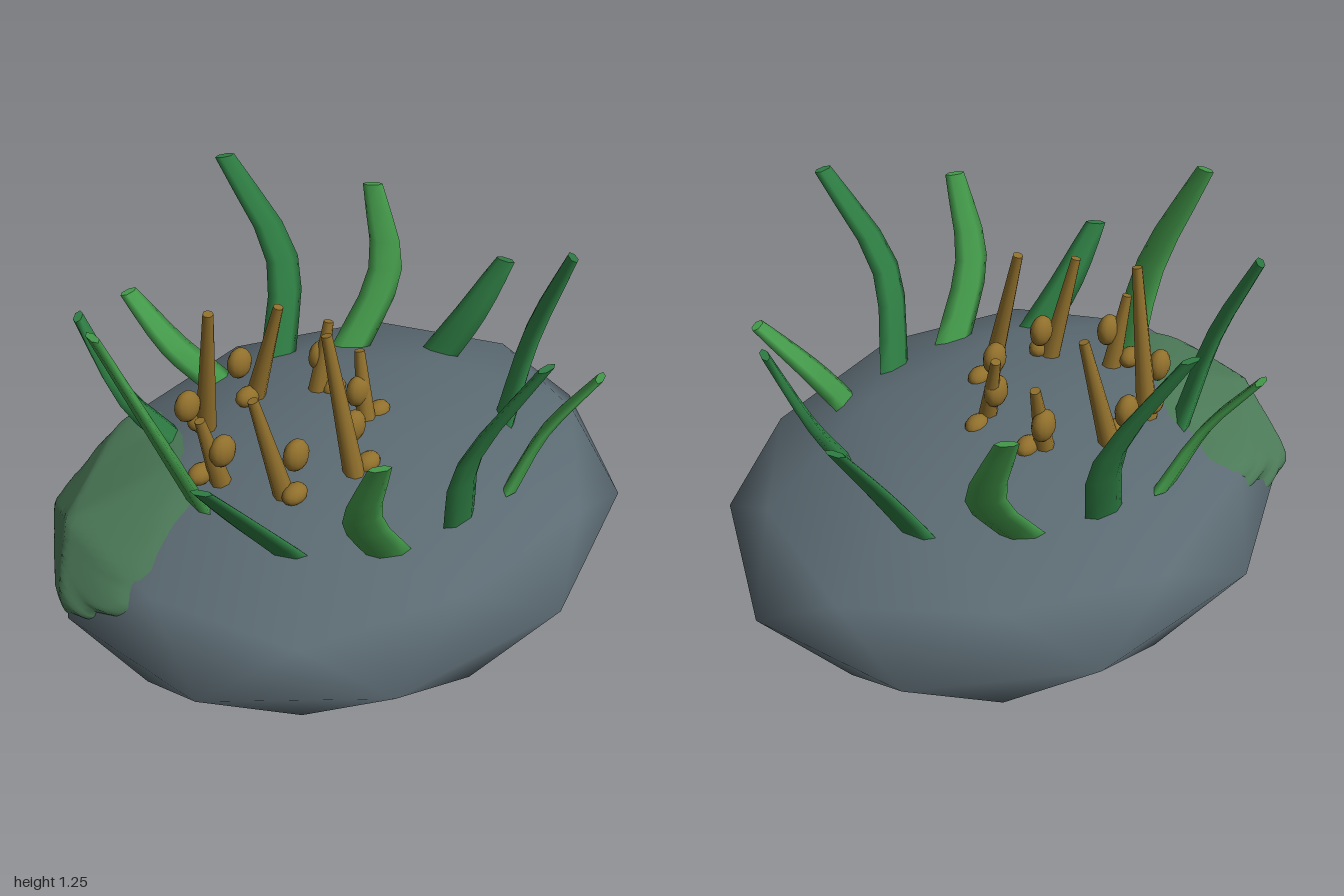
import * as THREE from 'three';

const mat = (name, color, side = THREE.FrontSide) => {
  const m = new THREE.MeshStandardMaterial({ color, side });
  m.name = name;
  return m;
};

// Grid of vertices (rows of closed loops) joined into one smooth surface
function loft(rows, capEnds) {
  const n = rows[0].length, pos = [], idx = [];
  rows.forEach(r => r.forEach(p => pos.push(p.x, p.y, p.z)));
  for (let i = 0; i < rows.length - 1; i++) {
    for (let j = 0; j < n; j++) {
      const a = i * n + j, b = i * n + (j + 1) % n, c = a + n, d = b + n;
      idx.push(a, c, d, a, d, b);
    }
  }
  // flat end caps with their own vertices so the rim stays sharp
  if (capEnds) {
    [rows[0], rows[rows.length - 1]].forEach((r, k) => {
      const s = pos.length / 3;
      r.forEach(p => pos.push(p.x, p.y, p.z));
      for (let j = 1; j < n - 1; j++) idx.push(s, s + j + (k ? 1 : 0), s + j + (k ? 0 : 1));
    });
  }
  const g = new THREE.BufferGeometry();
  g.setAttribute('position', new THREE.Float32BufferAttribute(pos, 3));
  g.setIndex(idx);
  g.computeVertexNormals();
  return g;
}

const SIZE = new THREE.Vector3(1.052, 0.325, 0.885);
const MID_Y = 0.327;

// Faceted ball standing on a corner
function unitRock() {
  return new THREE.IcosahedronGeometry(1, 1).rotateX(-Math.atan2(0.8507, 0.5257)).rotateY(Math.PI / 2);
}

// Moss shell hugging the facets of the rock, with a ragged rim tucked inside
function mossGeometry() {
  const p = unitRock().attributes.position, planes = [];
  for (let i = 0; i < p.count; i += 3) {
    const [a, b, c] = [0, 1, 2].map(k => new THREE.Vector3().fromBufferAttribute(p, i + k));
    planes.push(new THREE.Plane().setFromCoplanarPoints(a, b, c));
  }
  const radius = u => Math.min(...planes.map(q => {
    const d = q.normal.dot(u);
    return d > 0.1 ? -q.constant / d : 9;
  }));
  const c = new THREE.Vector3(-0.74, 0.3, -0.6).normalize();
  const e1 = new THREE.Vector3(0, 1, 0).cross(c).normalize();
  const e2 = c.clone().cross(e1);
  const rows = [];
  for (let i = 0; i <= 14; i++) {
    const t = Math.max(i / 14, 0.001), row = [];
    for (let j = 0; j < 64; j++) {
      const f = j / 64 * Math.PI * 2;
      const ripple = 0.025 * Math.sin(5 * f + 1) + 0.018 * Math.sin(11 * f) + 0.01 * Math.sin(19 * f + 2);
      const a = t * (0.57 + 0.1 * Math.sin(f) + 0.04 * Math.cos(2 * f + Math.PI) + ripple);
      const u = c.clone().multiplyScalar(Math.cos(a))
        .addScaledVector(e1, Math.sin(a) * Math.cos(f))
        .addScaledVector(e2, Math.sin(a) * Math.sin(f));
      row.push(u.multiplyScalar(radius(u) * (0.99 + 0.055 * (1 - t ** 6))).multiply(SIZE));
    }
    rows.push(row);
  }
  return loft(rows, false).translate(0, MID_Y, 0);
}

// Bent, tapering leaf whose width runs around the rock
function bladeGeometry([bx, bz, mx, mz, tx, tz], height) {
  const y0 = 0.555;
  const curve = new THREE.CatmullRomCurve3([
    new THREE.Vector3(bx, y0, bz),
    new THREE.Vector3(mx, y0 + (height - y0) * 0.48, mz),
    new THREE.Vector3(tx, height, tz),
  ]);
  const out = new THREE.Vector3(bx, 0, bz).normalize();
  const across = new THREE.Vector3(out.z, 0, -out.x);
  const rows = [];
  for (let i = 0; i <= 6; i++) {
    const t = i / 6, c = curve.getPoint(t);
    const w = 0.069 - 0.034 * t * t, d = 0.025 - 0.011 * t;
    rows.push(Array.from({ length: 6 }, (_, j) => {
      const a = -j / 6 * Math.PI * 2;
      return c.clone().addScaledVector(across, Math.cos(a) * w).addScaledVector(out, Math.sin(a) * d);
    }));
  }
  return loft(rows, true);
}

export function createModel() {
  const model = new THREE.Group();
  model.name = 'plantedRock';
  const stone = mat('slate grey', 0x5c6b73);
  const moss = mat('moss green', 0x4c7a58, THREE.DoubleSide);
  const leafGreens = [mat('deep green', 0x2e7d43, THREE.DoubleSide), mat('leaf green', 0x43994a, THREE.DoubleSide)];
  const brown = mat('ochre brown', 0x91702c);
  const add = (parent, name, geometry, material) => {
    const m = new THREE.Mesh(geometry, material);
    m.name = name;
    parent.add(m);
    return m;
  };

  // Rock and its moss patch
  add(model, 'rock', unitRock().scale(SIZE.x, SIZE.y, SIZE.z).translate(0, MID_Y, 0), stone);
  add(model, 'mossPatch', mossGeometry(), moss);

  // Ring of leaves: base x z, middle x z, tip x z
  const leaves = new THREE.Group();
  leaves.name = 'leaves';
  model.add(leaves);
  [
    [0.45, 0.34, 0.62, 0.32, 0.715, 0.39],
    [0.18, 0.56, 0.29, 0.6, 0.4, 0.71],
    [-0.07, 0.53, -0.165, 0.62, -0.085, 0.8],
    [-0.33, 0.46, -0.5, 0.49, -0.565, 0.6],
    [-0.53, 0.24, -0.66, 0.185, -0.8, 0.15],
    [-0.54, -0.13, -0.68, -0.14, -0.775, -0.275],
    [-0.34, -0.46, -0.51, -0.48, -0.565, -0.59],
    [0, -0.58, -0.12, -0.65, -0.18, -0.79],
    [0.23, -0.49, 0.355, -0.57, 0.295, -0.77],
    [0.45, -0.34, 0.64, -0.33, 0.7, -0.44],
    [0.62, -0.07, 0.7, 0.01, 0.81, 0.07],
  ].forEach((p, i) => add(leaves, 'leaf', bladeGeometry(p, [1.09, 0.92, 1.25][i % 3]), leafGreens[i % 2]));

  // Clusters: stalk base x z, stalk tip x y z, upper bud x z, lower bud x z
  const up = new THREE.Vector3(0, 1, 0);
  [
    [-0.265, -0.37, -0.31, 1.1, -0.28, -0.35, -0.36, -0.28, -0.38],
    [-0.04, -0.36, 0, 0.98, -0.27, -0.06, -0.4, -0.08, -0.35],
    [0.1, -0.2, 0.17, 0.87, -0.2, 0.15, -0.22, 0.15, -0.16],
    [0.07, 0.05, 0.1, 0.87, -0.01, 0.07, 0.01, 0.14, 0.04],
    [-0.16, 0.19, -0.17, 1.1, 0.08, -0.09, 0.12, -0.1, 0.19],
    [-0.37, 0.08, -0.44, 0.98, 0.02, -0.32, 0.08, -0.37, 0.115],
    [-0.44, -0.13, -0.5, 0.86, -0.15, -0.45, -0.11, -0.485, -0.18],
  ].forEach(([bx, bz, tx, ty, tz, ux, uz, lx, lz]) => {
    const cluster = new THREE.Group();
    cluster.name = 'budCluster';
    model.add(cluster);
    const base = new THREE.Vector3(bx, 0.58, bz), dir = new THREE.Vector3(tx, ty, tz).sub(base);
    const stalk = add(cluster, 'stalk', new THREE.CylinderGeometry(0.017, 0.036, dir.length(), 8), brown);
    stalk.position.copy(base).addScaledVector(dir, 0.5);
    stalk.quaternion.setFromUnitVectors(up, dir.normalize());
    add(cluster, 'upperBud', new THREE.SphereGeometry(1, 12, 8).scale(0.05, 0.056, 0.035), brown).position.set(ux, 0.735, uz);
    add(cluster, 'lowerBud', new THREE.SphereGeometry(1, 12, 8).scale(0.048, 0.035, 0.035), brown).position.set(lx, 0.63, lz);
  });
  return model;
}
